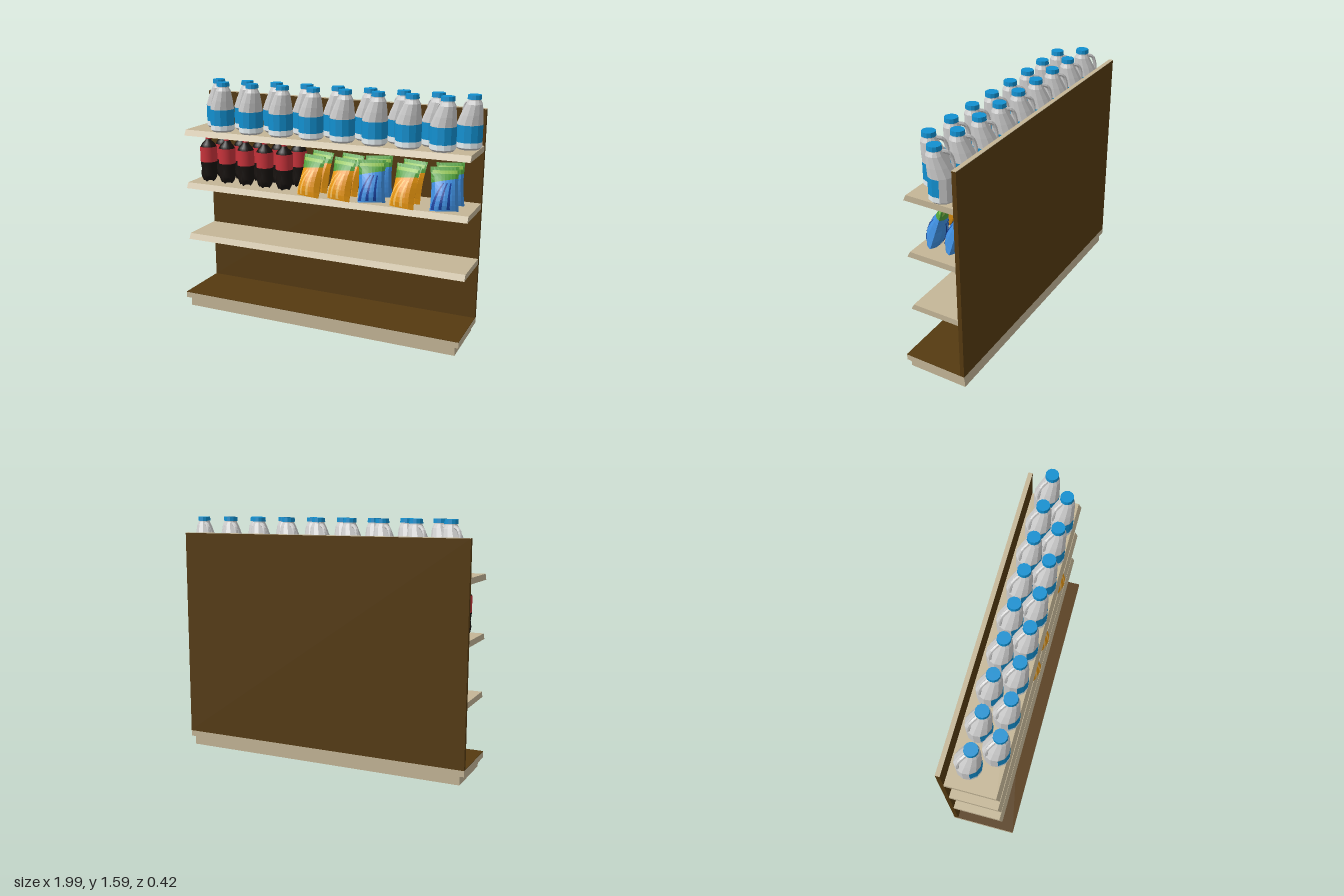
import * as THREE from 'three';
import { ParametricGeometry } from 'three/addons/geometries/ParametricGeometry.js';

const mat = (color, opts = {}) => new THREE.MeshStandardMaterial({ color, ...opts });
const V = (x, y) => new THREE.Vector2(x, y);

function add(parent, name, geometry, material, x = 0, y = 0, z = 0) {
  const mesh = new THREE.Mesh(geometry, material);
  mesh.name = name;
  mesh.position.set(x, y, z);
  parent.add(mesh);
  return mesh;
}

// Box given by its lower and upper limits
function slab(parent, name, m, x0, x1, y0, y1, z0, z1) {
  return add(parent, name, new THREE.BoxGeometry(x1 - x0, y1 - y0, z1 - z0), m,
    (x0 + x1) / 2, (y0 + y1) / 2, (z0 + z1) / 2);
}

function buildRack(root) {
  const brown = mat(0x553a10), beige = mat(0xc4b697);
  slab(root, 'plinth', beige, -0.97, 0.955, 0, 0.06, -0.2, 0.2);
  slab(root, 'baseRim', beige, -1, 0.98, 0.06, 0.099, -0.212, 0.212);
  slab(root, 'baseDeck', brown, -1, 0.98, 0.099, 0.102, -0.212, 0.212);
  slab(root, 'backPanel', brown, -1, 0.98, 0.102, 1.48, -0.212, -0.184);
  slab(root, 'backPanelTrim', beige, -1, 0.98, 1.48, 1.483, -0.212, -0.184);
  // Shelf section with a slanted front edge, extruded along x
  const section = new THREE.Shape([V(0.184, 0), V(-0.147, 0), V(-0.127, 0.038), V(0.184, 0.038)]);
  const shelf = new THREE.ExtrudeGeometry(section, { depth: 1.98, bevelEnabled: false });
  shelf.rotateY(Math.PI / 2);
  for (const y of [0.476, 0.846, 1.216]) add(root, 'shelf', shelf, beige, -1, y, 0);
}

// Jug with its neck set off to local +x and a handle on local -x
function makeJug() {
  const jug = new THREE.Group();
  jug.name = 'jug';
  const grey = mat(0xcccccc, { flatShading: true });
  const blue = mat(0x1290d0, { flatShading: true });
  const white = mat(0xe4eef2, { flatShading: true });
  const body = new THREE.LatheGeometry([V(0, 0), V(0.068, 0), V(0.08, 0.012), V(0.08, 0.155),
    V(0.068, 0.21), V(0.05, 0.275), V(0.038, 0.298), V(0.036, 0.312), V(0, 0.312)], 12);
  const p = body.attributes.position;
  for (let i = 0; i < p.count; i++) {
    const t = THREE.MathUtils.clamp((p.getY(i) - 0.155) / 0.12, 0, 1);
    p.setX(i, p.getX(i) + 0.035 * t);
  }
  body.computeVertexNormals();
  add(jug, 'jugBody', body, grey);
  add(jug, 'jugCap', new THREE.CylinderGeometry(0.041, 0.043, 0.027, 12), blue, 0.035, 0.318, 0);
  const path = new THREE.CatmullRomCurve3([[-0.068, 0.16], [-0.066, 0.215], [-0.045, 0.268], [0.005, 0.288]]
    .map(([x, y]) => new THREE.Vector3(x, y, 0)));
  add(jug, 'jugHandle', new THREE.TubeGeometry(path, 8, 0.012, 6), grey);
  // Label pieces follow the facets of the body
  const patch = (name, m, r, start, count, y0, y1) => add(jug, name,
    new THREE.CylinderGeometry(r, r, y1 - y0, count, 1, true, start * Math.PI / 6, count * Math.PI / 6),
    m, 0, (y0 + y1) / 2, 0);
  patch('jugLabel', blue, 0.081, -1, 6, 0.045, 0.15);
  patch('jugLabelBase', white, 0.081, -1, 6, 0.014, 0.045);
  for (const s of [0, 2]) patch('jugLabelPanel', white, 0.0815, s + 0.04, 0.9, 0.068, 0.125);
  [0xe8b020, 0xd84a28, 0xe8b020].forEach((c, i) =>
    patch('jugLabelSpot', mat(c), 0.0818, 1.25 + i * 0.75, 0.4, 0.022, 0.04));
  jug.rotation.y = -0.67;
  return jug;
}

function makeSodaBottle() {
  const bottle = new THREE.Group();
  bottle.name = 'sodaBottle';
  const dark = mat(0x17120f), red = mat(0xc8323a);
  const body = new THREE.LatheGeometry([V(0, 0.02), V(0.03, 0.008), V(0.042, 0), V(0.052, 0.02), V(0.057, 0.05),
    V(0.052, 0.09), V(0.057, 0.13), V(0.057, 0.24), V(0.045, 0.262), V(0.022, 0.285), V(0.015, 0.3)], 20);
  // Pinch the bottom into five feet
  const p = body.attributes.position;
  for (let i = 0; i < p.count; i++) {
    const y = p.getY(i);
    if (y > 0.03 || Math.hypot(p.getX(i), p.getZ(i)) < 0.035) continue;
    const a = Math.atan2(p.getX(i), p.getZ(i));
    p.setY(i, y + 0.011 * (1 - Math.cos(5 * a)));
  }
  body.computeVertexNormals();
  add(bottle, 'sodaBody', body, dark);
  add(bottle, 'sodaLabel', new THREE.CylinderGeometry(0.058, 0.058, 0.105, 20, 1, true), red, 0, 0.193, 0);
  add(bottle, 'sodaCap', new THREE.CylinderGeometry(0.018, 0.018, 0.024, 12), red, 0, 0.308, 0);
  return bottle;
}

// Pillow bag: u runs across, v runs up, side is front (1) or back (-1)
function makeBag(color, stripeColor) {
  const bag = new THREE.Group();
  bag.name = 'snackBag';
  const W = 0.178, H = 0.272;
  const piece = (name, c, side, lift, uv, nu, nv) => {
    const fn = (s, t, target) => {
      const [u, v] = uv(s, t);
      const depth = 0.058 * Math.sin(Math.PI * Math.pow(0.12 + 0.88 * v, 0.7))
        * Math.sqrt(Math.max(0, Math.sin(Math.PI * u)));
      const width = W * (1 - 0.1 * Math.sin(Math.PI * v));
      target.set((u - 0.5) * width, v * H, side * (depth + lift));
    };
    add(bag, name, new ParametricGeometry(fn, nu, nv), mat(c, { side: THREE.DoubleSide, flatShading: true }));
  };
  const split = u => 0.64 + 0.1 * u;
  for (const side of [1, -1]) {
    piece('bagLower', color, side, 0, (s, t) => [s, t * split(s)], 8, 6);
    piece('bagUpper', 0x4f9e3a, side, 0, (s, t) => [s, split(s) + t * (1 - split(s))], 8, 3);
    piece('bagTopBand', 0x8cbf4a, side, 0.002, (s, t) => [0.06 + 0.88 * s, 0.84 + 0.08 * t], 8, 1);
    // Rays fanning out from the upper right
    for (const [u0, u1] of [[0.06, 0.42], [0.32, 0.56], [0.6, 0.7]]) {
      piece('bagStripe', stripeColor, side, 0.002, (s, t) => {
        const bend = t * t;
        return [u0 + (u1 - u0) * bend + (s - 0.5) * (0.11 - 0.06 * t) + 0.02, 0.03 + t * 0.6];
      }, 2, 8);
    }
  }
  return bag;
}

function buildGoods(root) {
  const place = (source, x, y, z) => {
    const item = source.clone();
    item.position.set(x, y, z);
    root.add(item);
    return item;
  };
  // Two staggered rows of jugs on the top shelf
  const jug = makeJug();
  for (let i = 0; i < 9; i++) place(jug, -0.858 + i * 0.221, 1.254, -0.073);
  for (let i = 0; i < 8; i++) place(jug, -0.746 + i * 0.2184, 1.254, i < 2 ? 0.06 : 0.052);
  // Soda bottles on the left of the second shelf
  const soda = makeSodaBottle();
  for (let i = 0; i < 5; i++) {
    place(soda, -0.892 + i * 0.147, 0.884, 0.02);
    place(soda, -0.85 + i * 0.147, 0.884, -0.11);
  }
  // Snack bags beside them, leaning back in two rows
  const orange = makeBag(0xe8960f, 0xf5bd5c), blue = makeBag(0x3f8fe0, 0x173f9a);
  for (const [x, isBlue] of [[-0.09, 0], [0.125, 0], [0.34, 1], [0.55, 0], [0.815, 1]]) {
    for (const dz of [0, -0.13]) {
      const item = place(isBlue ? blue : orange, x, 0.882, (isBlue ? 0.075 : 0.108) + dz);
      item.rotation.set(-0.3, isBlue ? 0.35 : -0.25, 0, 'YXZ');
    }
  }
}

export function createModel() {
  const root = new THREE.Group();
  root.name = 'stockedShelf';
  buildRack(root);
  buildGoods(root);
  return root;
}
